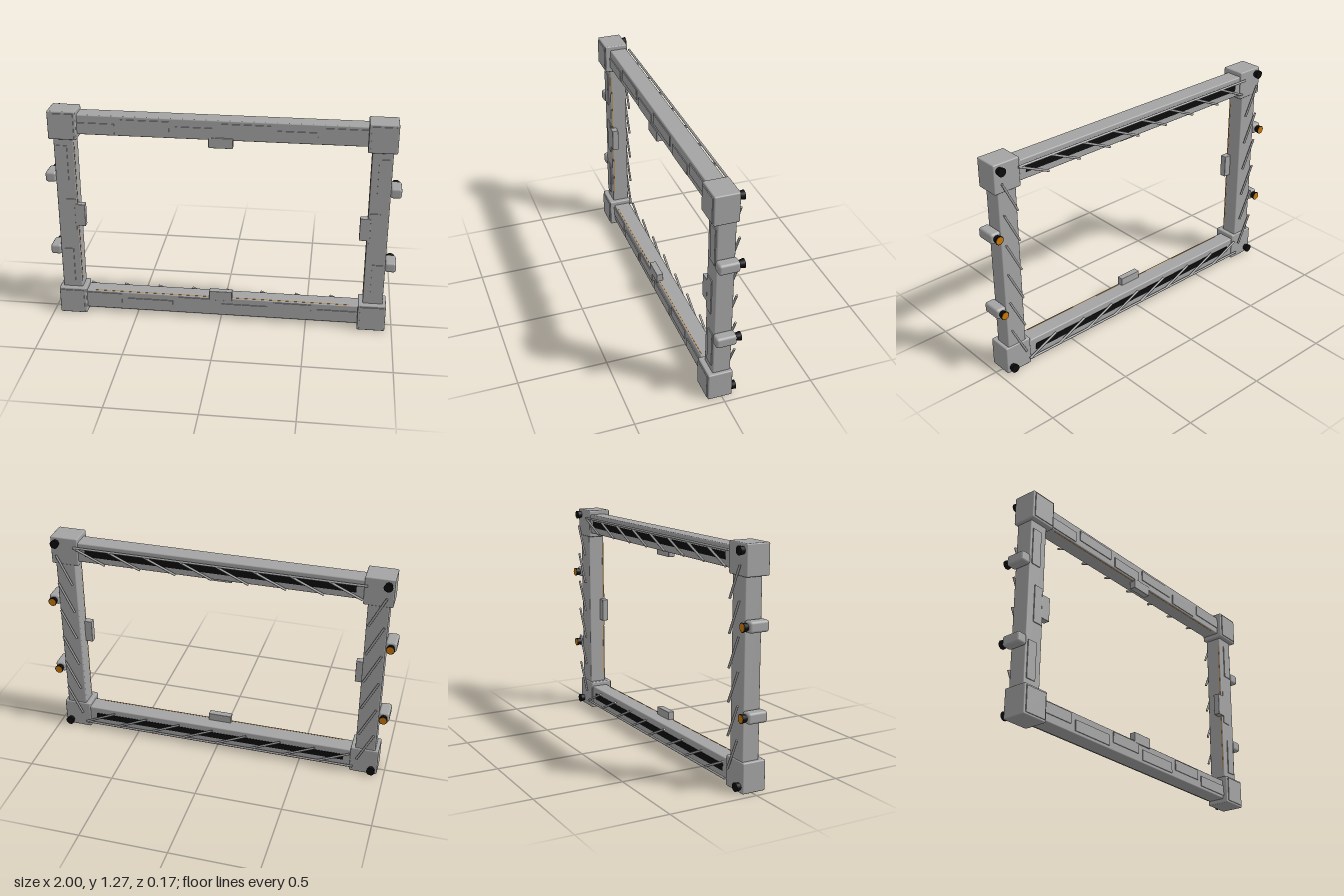
import * as THREE from 'three';
import { RoundedBoxGeometry } from 'three/addons/geometries/RoundedBoxGeometry.js';

const mat = (name, color) => {
  const m = new THREE.MeshStandardMaterial({ color });
  m.name = name;
  return m;
};

export function createModel() {
  const root = new THREE.Group();
  root.name = 'stationFrame';
  const grey = mat('hullGrey', 0xa4a4a4);
  const black = mat('black', 0x0c0c0c);
  const orange = mat('orangeGlow', 0xc87808);
  const MID = 0.635;

  const add = (name, geo, m, x, y, z) => {
    const mesh = new THREE.Mesh(geo, m);
    mesh.name = name;
    mesh.position.set(x, y, z);
    root.add(mesh);
    return mesh;
  };
  const box = (name, m, w, h, d, x, y, z) => add(name, new THREE.BoxGeometry(w, h, d), m, x, y, z);
  const bevelBox = (name, w, h, d, x, y, z, r = 0.007) =>
    add(name, new RoundedBoxGeometry(w, h, d, 2, r), grey, x, y, z);

  // Round bar between two points in the plane behind the frame
  const bar = (name, x1, y1, x2, y2, z = -0.074) => {
    const len = Math.hypot(x2 - x1, y2 - y1);
    const b = add(name, new THREE.CylinderGeometry(0.0065, 0.0065, len, 8), grey,
      (x1 + x2) / 2, (y1 + y2) / 2, z);
    b.rotation.z = Math.atan2(y2 - y1, x2 - x1) - Math.PI / 2;
  };

  // Flared nozzle opening to the back
  const nozzle = (x, y, lit) => {
    const n = add('nozzle', new THREE.CylinderGeometry(0.019, 0.025, 0.028, 16), black, x, y, -0.07);
    n.rotation.x = Math.PI / 2;
    if (lit) {
      const g = add('nozzleGlow', new THREE.CylinderGeometry(0.021, 0.021, 0.002, 16), orange, x, y, -0.0845);
      g.rotation.x = Math.PI / 2;
    }
  };

  // Top and bottom beams (s = +1 top, -1 bottom)
  for (const s of [1, -1]) {
    const Y = (o) => MID + s * o; // offset from the middle, outward
    bevelBox('horizontalBeam', 1.64, 0.115, 0.1, 0, Y(0.5525), 0);
    bevelBox('innerTab', 0.135, 0.06, 0.038, 0, Y(0.48), 0.037, 0.003);
    box('darkVentStrip', black, 1.52, 0.038, 0.004, 0, Y(0.552), -0.0505);
    box('innerLightStrip', orange, 1.5, 0.002, 0.003, 0, Y(0.4948), 0.04);

    // Staggered front plates
    for (let i = 0; i < 6; i++) {
      const w = i % 2 ? 0.27 : 0.22;
      box('frontPlate', grey, w, 0.06, 0.006, -0.7 + i * 0.28, Y(i % 2 ? 0.562 : 0.535), 0.052);
    }
    // Rail with diagonal struts on the back
    bar('backRail', -0.82, Y(0.59), 0.82, Y(0.59));
    const step = 1.64 / 8;
    for (let i = 0; i < 8; i++) {
      const x = 0.82 - i * step;
      bar('diagonalStrut', x, Y(0.59), x - step * 0.9, Y(0.505));
    }
  }

  // Side columns (s = +1 left, -1 right)
  for (const s of [1, -1]) {
    bevelBox('sideColumn', 0.115, 0.98, 0.1, s * 0.8825, MID, 0);
    bevelBox('innerTab', 0.06, 0.135, 0.038, s * 0.812, MID, 0.037, 0.003);
    box('innerLightStrip', orange, 0.002, 0.84, 0.003, s * 0.8248, MID, 0.04);

    [0.31, 0.63, 0.955].forEach((y, i) =>
      box('frontPlate', grey, 0.06, 0.21, 0.006, s * (i === 1 ? 0.865 : 0.895), y, 0.052));

    // Diagonal struts on the back, outer end high
    const step = 1.06 / 6;
    for (let i = 0; i < 6; i++) {
      const y = 0.105 + i * step;
      bar('diagonalStrut', s * 0.84, y, s * 0.925, y + step);
    }
    // Thruster pods on the outer faces
    for (const y of [0.405, 0.865]) {
      bevelBox('thrusterPod', 0.062, 0.06, 0.114, s * 0.969, y, 0.001, 0.014);
      nozzle(s * 0.969, y, true);
    }
    // Corner blocks with raised front plate and nozzle
    for (const t of [1, -1]) {
      const y = MID + t * 0.5525;
      bevelBox('cornerBlock', 0.16, 0.165, 0.136, s * 0.88, y, 0.011);
      box('cornerPlate', grey, 0.135, 0.14, 0.006, s * 0.88, y, 0.081);
      nozzle(s * 0.927, MID + t * 0.6, false);
    }
  }
  return root;
}
